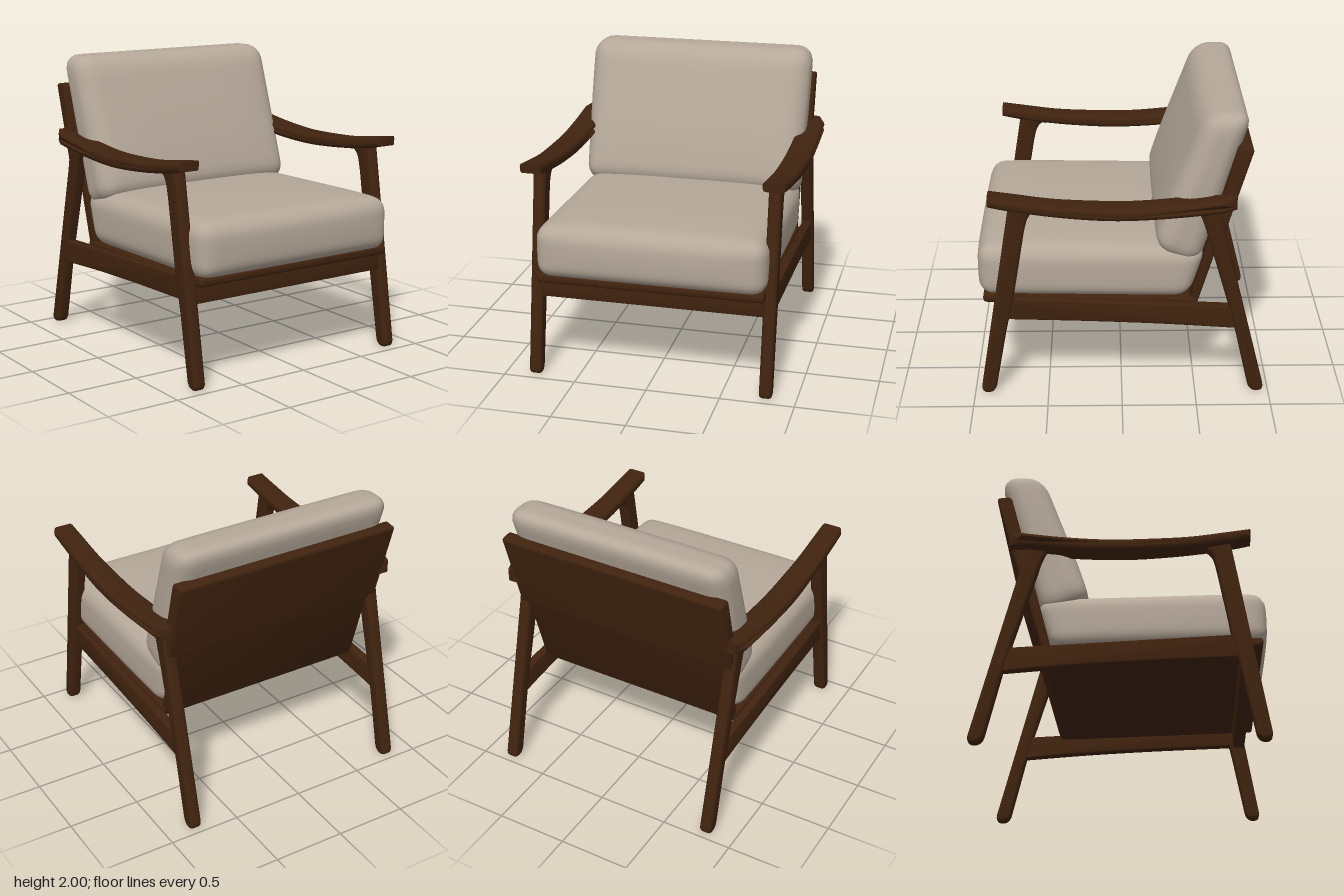
import * as THREE from 'three';
import { mergeVertices, toCreasedNormals } from 'three/addons/utils/BufferGeometryUtils.js';

const { smoothstep, clamp } = THREE.MathUtils;
const wood = new THREE.MeshStandardMaterial({ name: 'dark walnut', color: 0x40230f });
const fabric = new THREE.MeshStandardMaterial({ name: 'warm grey fabric', color: 0xb5a899 });

// Closed side outline from [z, y, cornerRadius] points
function outline(points) {
  const shape = new THREE.Shape();
  const n = points.length;
  points.forEach(([z, y, r = 0.01], i) => {
    const p = new THREE.Vector2(z, y);
    const toward = (q) => {
      const d = new THREE.Vector2(q[0], q[1]).sub(p);
      return p.clone().add(d.setLength(Math.min(r, d.length() * 0.48)));
    };
    const a = toward(points[(i + n - 1) % n]);
    const b = toward(points[(i + 1) % n]);
    if (i === 0) shape.moveTo(a.x, a.y);
    else shape.lineTo(a.x, a.y);
    shape.quadraticCurveTo(p.x, p.y, b.x, b.y);
  });
  shape.closePath();
  return shape;
}

// Side outline (z, y) given a width along x, with softened edges
function slab(shape, width, bevel, rule) {
  const geo = new THREE.ExtrudeGeometry(shape, {
    depth: width - 2 * bevel, bevelThickness: bevel, bevelSize: bevel,
    bevelOffset: -bevel, bevelSegments: 3, curveSegments: 8,
  });
  geo.translate(0, 0, -(width - 2 * bevel) / 2);
  geo.rotateY(-Math.PI / 2);
  if (rule) bend(geo, rule);
  return toCreasedNormals(geo, 0.65);
}

function bend(geo, rule) {
  const pos = geo.attributes.position;
  const v = new THREE.Vector3();
  for (let i = 0; i < pos.count; i++) {
    rule(v.fromBufferAttribute(pos, i));
    pos.setXYZ(i, v.x, v.y, v.z);
  }
}

// Rounded pad with half sizes h and edge radius r, shaped further by a rule
function pad(h, r, rule) {
  let geo = new THREE.BoxGeometry(2, 2, 2, 28, 20, 28);
  geo.deleteAttribute('uv');
  geo.deleteAttribute('normal');
  const core = new THREE.Vector3();
  bend(geo, (v) => {
    // crowd the rows toward the edges so the rounding is smooth
    for (const k of ['x', 'y', 'z']) {
      v[k] = Math.sin(v[k] * Math.PI / 2) * h[k];
      core[k] = clamp(v[k], r - h[k], h[k] - r);
    }
    v.sub(core).setLength(r).add(core);
    rule(v, v.x / h.x, v.y / h.y, v.z / h.z);
  });
  geo = mergeVertices(geo, 1e-5);
  geo.computeVertexNormals();
  return geo;
}

function armShape() {
  const top = [[0.865, 1.48], [0.7, 1.457], [0.45, 1.422], [0.14, 1.405], [-0.1, 1.405], [-0.4, 1.43], [-0.74, 1.475]];
  const under = [[-0.74, 1.385], [-0.4, 1.345], [-0.1, 1.325], [0.14, 1.325], [0.45, 1.348], [0.72, 1.385], [0.865, 1.415]];
  const run = (pts) => new THREE.SplineCurve(pts.map((p) => new THREE.Vector2(...p))).getPoints(36);
  return new THREE.Shape([...run(top), ...run(under)]);
}

export function createModel() {
  const chair = new THREE.Group();
  chair.name = 'armchair';
  const add = (name, geo, material, x = 0) => {
    const mesh = new THREE.Mesh(geo, material);
    mesh.name = name;
    mesh.position.x = x;
    chair.add(mesh);
  };

  // Legs and side rails
  const frontLeg = slab(outline([
    [0.962, 0, 0.06], [0.862, 0, 0.06], [0.77, 0.5, 0.06], [0.72, 0.72, 0.03],
    [0.632, 1.24, 0.08], [0.605, 1.335, 0.05], [0.53, 1.375], [0.73, 1.42],
  ]), 0.085, 0.022);
  const rearLeg = slab(outline([
    [-0.975, 0, 0.06], [-0.87, 0, 0.06], [-0.757, 0.49, 0.06], [-0.705, 0.68, 0.04],
    [-0.53, 1.28, 0.06], [-0.48, 1.38], [-0.64, 1.4], [-0.67, 1.22, 0.05],
  ]), 0.085, 0.022);
  const sideRail = slab(outline([
    [0.81, 0.73], [0.81, 0.57], [0.2, 0.55, 0.2], [-0.3, 0.525, 0.2], [-0.8, 0.487], [-0.75, 0.655],
  ]), 0.066, 0.012);

  for (const [side, word] of [[1, 'left'], [-1, 'right']]) {
    add(word + 'FrontLeg', frontLeg, wood, side * 0.795);
    add(word + 'RearLeg', rearLeg, wood, side * 0.795);
    add(word + 'SideRail', sideRail, wood, side * 0.793);

    // Armrest: swept in profile, narrowing toward both ends in plan
    const width = 0.175;
    const arm = slab(armShape(), width, 0.026, (v) => {
      const t = side * v.x / width + 0.5;
      const inner = 0.733 + 0.05 * smoothstep(-v.z, 0.4, 0.72);
      const outer = 0.91 - 0.025 * smoothstep(v.z, 0, 0.86) - 0.04 * smoothstep(-v.z, 0.66, 0.74);
      v.x = side * (inner + (outer - inner) * t);
    });
    add(word + 'Armrest', arm, wood);
  }

  // Seat base and front rail
  add('seatBoard', slab(outline([
    [0.925, 0.73, 0.025], [0.925, 0.67, 0.025], [-0.49, 0.63], [-0.51, 0.69],
  ]), 1.54, 0.015), wood);
  add('frontRail', slab(outline([
    [0.85, 0.69], [0.865, 0.55], [0.785, 0.55], [0.77, 0.69],
  ]), 1.53, 0.012), wood);

  // Backrest board, wider above the arms
  add('backPanel', slab(outline([
    [-0.745, 1.78, 0.02], [-0.838, 1.79, 0.03], [-0.505, 0.645], [-0.45, 0.66],
  ]), 1.52, 0.012), wood);
  add('upperBackBoard', slab(outline([
    [-0.745, 1.795, 0.03], [-0.845, 1.785, 0.03], [-0.668, 1.18], [-0.58, 1.18],
  ]), 1.64, 0.016), wood);

  // Seat cushion: crowned top, bowed front, back edge leaning with the backrest
  add('seatCushion', pad(new THREE.Vector3(0.775, 0.185, 0.7), 0.1, (p, u, v, w) => {
    const crown = (1 - u ** 4) * (1 - w ** 4);
    if (v > 0) p.y += 0.035 * v * crown;
    if (w > 0) p.z += 0.02 * w * (1 - u ** 4) * (1 - v * v);
    else p.z += 0.06 * w * (v + 1);
    p.x += 0.012 * u * (1 - v * v) * (1 - w ** 4);
    p.z += 0.25;
    p.y += 0.878 + 0.012 * w;
  }), fabric);

  // Back cushion: leaning, belly at the front, underside sloping down to the rear
  add('backCushion', pad(new THREE.Vector3(0.79, 0.505, 0.15), 0.11, (p, u, v, w) => {
    if (w > 0) p.z += 0.04 * w * (1 - u ** 4) * (1 - v * v * 0.75);
    p.z += -0.525 - 0.33 * p.y;
    p.y += 1.49 + 0.06 * w * smoothstep(-v, -0.6, 1);
    p.x += 0.015 * u * (1 - w * w) * smoothstep(v, -1, 0.5);
  }), fabric);

  return chair;
}
